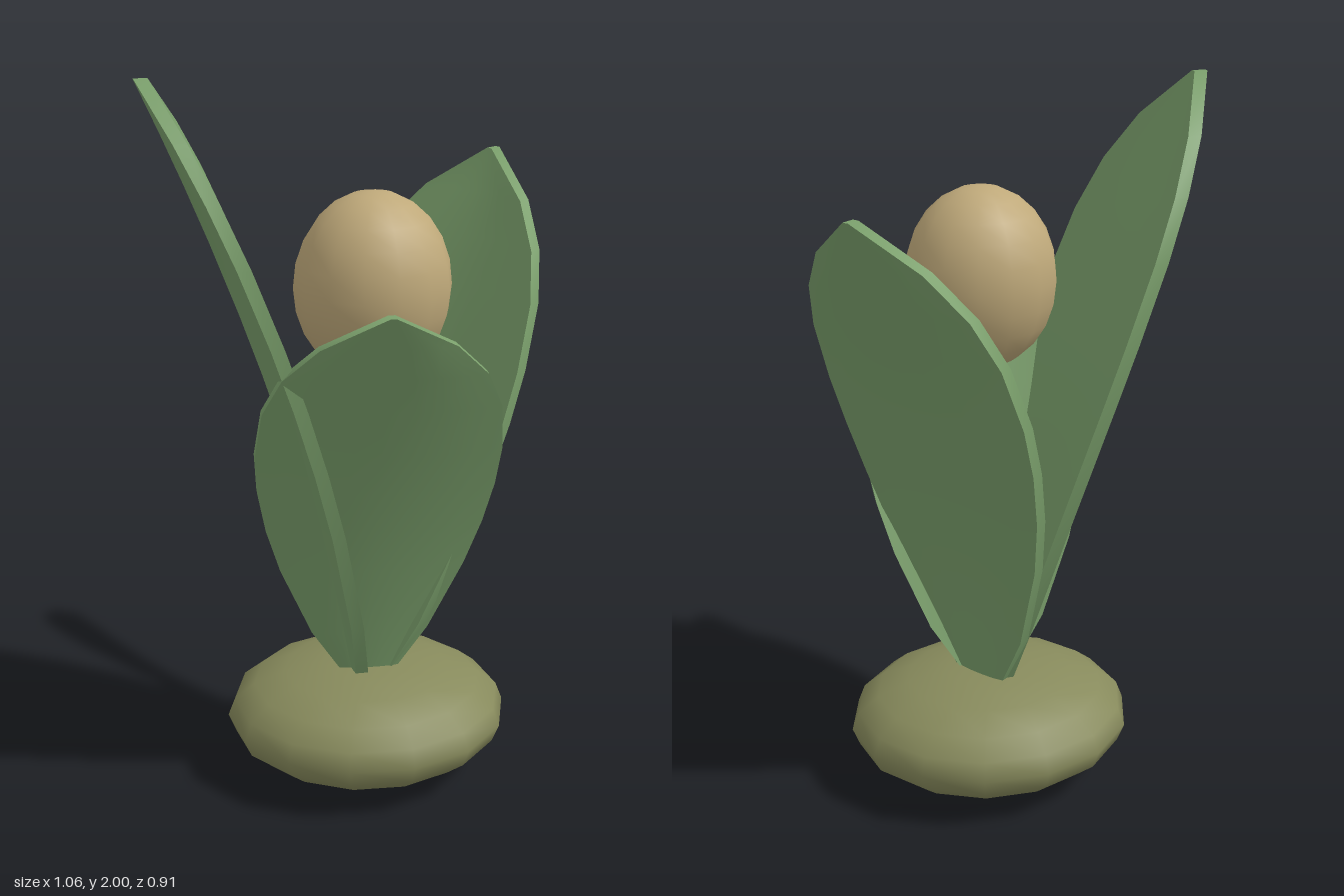
import * as THREE from 'three';
import { toCreasedNormals } from 'three/addons/utils/BufferGeometryUtils.js';

const mat = (color) => new THREE.MeshStandardMaterial({ color });

// [height fraction, half width] from the foot of a leaf to its tip
const OUTLINE = [[0, 0.085], [0.11, 0.165], [0.3, 0.255], [0.42, 0.295], [0.53, 0.318],
  [0.63, 0.325], [0.75, 0.308], [0.84, 0.26], [0.92, 0.17], [1, 0.008]];
const COLS = 8, THICK = 0.036, FOOT = 0.33;

// Thick, slightly cupped leaf leaning outwards along +z
function leafGeometry(height, reach) {
  const pos = [], index = [], ring = 2 * (COLS + 1);
  for (const [t, w] of OUTLINE) {
    const lean = 0.04 + (reach - 0.04) * (0.6 * t + 0.4 * t * t);
    for (let k = 0; k < ring; k++) {
      const outer = k <= COLS;
      const u = ((outer ? k : ring - 1 - k) / COLS) * 2 - 1;
      const cup = 0.04 * u * u * (w / 0.325);
      pos.push(u * w, FOOT + t * height, lean - cup + (outer ? 0.5 : -0.5) * THICK);
    }
  }
  const quad = (a, b, c, d) => index.push(a, b, c, a, c, d);
  for (let i = 0; i < OUTLINE.length - 1; i++) {
    for (let k = 0; k < ring; k++) {
      const a = i * ring + k, b = i * ring + (k + 1) % ring;
      quad(a, b, b + ring, a + ring);
    }
  }
  // End caps at foot and tip
  const top = (OUTLINE.length - 1) * ring;
  for (let k = 0; k < COLS; k++) {
    const m = ring - 1 - k;
    quad(k, m, m - 1, k + 1);
    quad(top + k, top + k + 1, top + m - 1, top + m);
  }
  const geo = new THREE.BufferGeometry();
  geo.setAttribute('position', new THREE.Float32BufferAttribute(pos, 3));
  geo.setIndex(index);
  return toCreasedNormals(geo, 0.7);
}

// Low-poly smooth ellipsoid
function ellipsoid(name, color, center, radii, segs, rings) {
  const geo = new THREE.SphereGeometry(1, segs, rings).scale(...radii);
  const mesh = new THREE.Mesh(geo, mat(color));
  mesh.name = name;
  mesh.position.set(...center);
  return mesh;
}

export function createModel() {
  const model = new THREE.Group();
  model.name = 'sproutingPlant';

  // Flattened base and floating bud
  model.add(ellipsoid('base', 0x878a5c, [0.06, 0.169, 0], [0.405, 0.167, 0.357], 14, 10));
  model.add(ellipsoid('bud', 0xbfa97a, [0.06, 1.47, 0.083], [0.208, 0.25, 0.192], 14, 12));

  // Three leaves: name, height, outward reach, heading
  const green = mat(0x7ba06c);
  for (const [name, height, reach, heading] of [
    ['frontLeaf', 1.16, 0.44, 0],
    ['tallRightLeaf', 1.67, 0.575, -1.51],
    ['backLeftLeaf', 1.415, 0.51, 2.26],
  ]) {
    const leaf = new THREE.Mesh(leafGeometry(height, reach), green);
    leaf.name = name;
    leaf.position.x = 0.06;
    leaf.rotation.y = heading;
    model.add(leaf);
  }
  return model;
}
